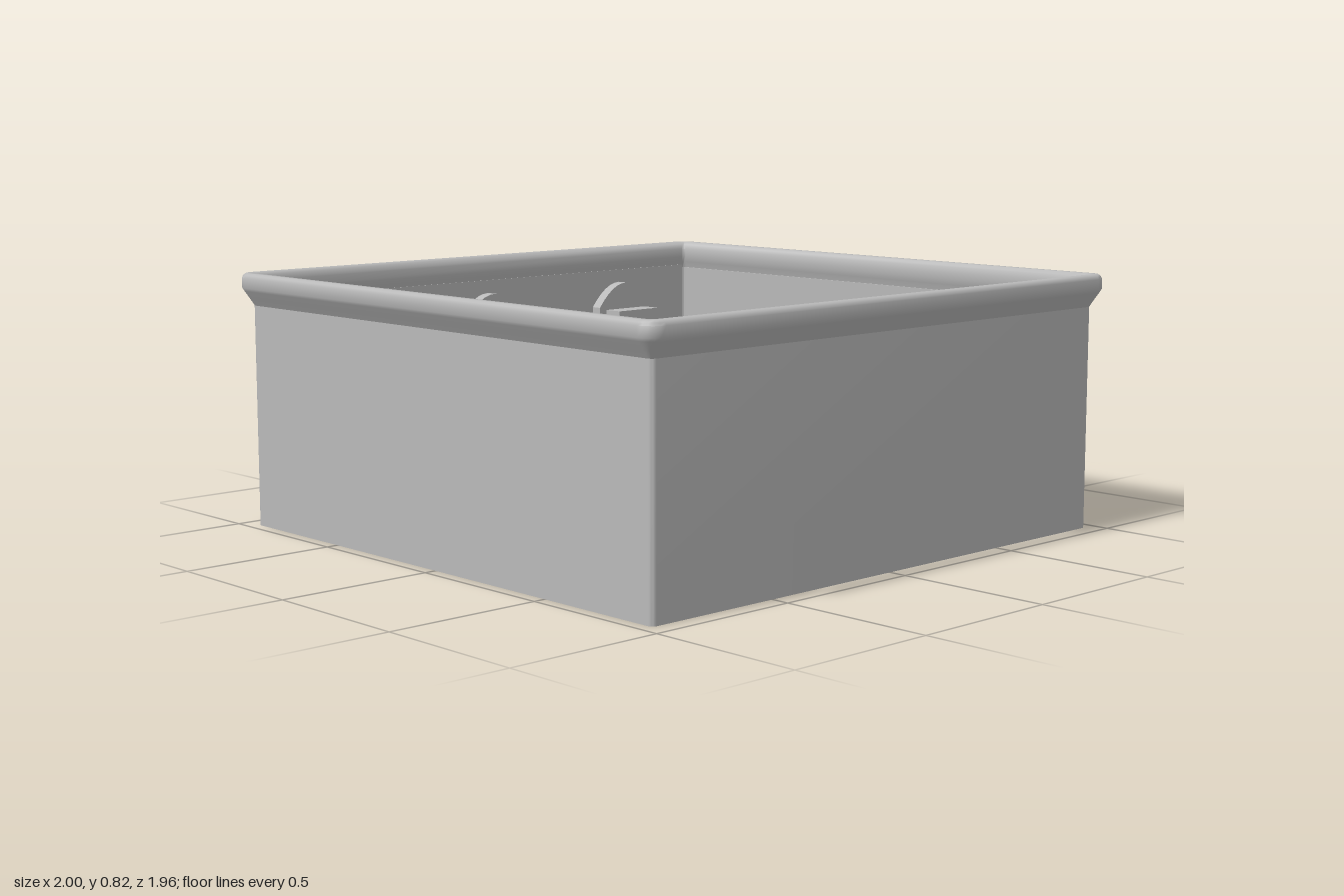
import * as THREE from 'three';
import { toCreasedNormals } from 'three/addons/utils/BufferGeometryUtils.js';

const HALF_X = 1, HALF_Z = 0.98, CORNER = 0.055, BACK = -0.942;

const stone = new THREE.MeshStandardMaterial({ color: 0xbababa });
stone.name = 'grey stone';

// Rounded rectangle in plan, inset from the cornice edge, starting at the back left corner
function planLoop(inset) {
  const r = Math.max(CORNER - inset, 0.01), pts = [], steps = 5;
  const cx = HALF_X - inset - r, cz = HALF_Z - inset - r;
  const signs = [[1, -1], [1, 1], [-1, 1], [-1, -1]];
  signs.forEach(([sx, sz], k) => {
    for (let s = 0; s <= steps; s++) {
      const a = (k - 1 + s / steps) * Math.PI / 2;
      pts.push([sx * cx + r * Math.cos(a), sz * cz + r * Math.sin(a)]);
    }
  });
  return pts;
}

// Sweeps a closed [inset, height] profile around the plan; open leaves out the back wall
function sweep(profile, open) {
  const loops = profile.map(([inset]) => planLoop(inset));
  const n = loops[0].length, m = profile.length, pos = [], index = [];
  loops.forEach((loop, j) => loop.forEach(([x, z]) => pos.push(x, profile[j][1], z)));
  for (let j = 0; j < m; j++) {
    for (let i = 0; i < (open ? n - 1 : n); i++) {
      const i2 = (i + 1) % n, j2 = (j + 1) % m;
      const a = j * n + i, b = j2 * n + i, c = j * n + i2, d = j2 * n + i2;
      index.push(a, b, c, b, d, c);
    }
  }
  const g = new THREE.BufferGeometry();
  g.setAttribute('position', new THREE.Float32BufferAttribute(pos, 3));
  g.setIndex(index);
  return toCreasedNormals(g, 0.75);
}

// Upright outline with a shallow arched top; equal spring and top give a rectangle
function arched(Type, w, y0, spring, top, x = 0) {
  const s = new Type();
  s.moveTo(x - w / 2, y0);
  s.lineTo(x + w / 2, y0);
  s.lineTo(x + w / 2, spring);
  if (top > spring) s.quadraticCurveTo(x, 2 * top - spring, x - w / 2, spring);
  else s.lineTo(x - w / 2, spring);
  s.closePath();
  return s;
}

// Extrudes a shape between two z positions
function slab(shape, z0, z1) {
  const g = new THREE.ExtrudeGeometry(shape, { depth: z1 - z0, bevelEnabled: false, curveSegments: 12 });
  g.translate(0, 0, z0);
  return toCreasedNormals(g, 0.6);
}

function withHole(outer, ...holes) {
  const s = arched(THREE.Shape, ...outer);
  holes.forEach(h => s.holes.push(arched(THREE.Path, ...h)));
  return s;
}

function add(parent, name, geometry) {
  const mesh = new THREE.Mesh(geometry, stone);
  mesh.name = name;
  parent.add(mesh);
  return mesh;
}

function box(parent, name, w, y0, y1, z0, z1) {
  const g = new THREE.BoxGeometry(w, y1 - y0, z1 - z0);
  g.translate(0, (y0 + y1) / 2, (z0 + z1) / 2);
  return add(parent, name, g);
}

function createWindow() {
  const win = new THREE.Group();
  win.name = 'window';
  const opening = [0.172, 0.18, 0.565, 0.592];

  // Outside surround and sill
  add(win, 'windowSurround', slab(withHole([0.225, 0.15, 0.575, 0.64], opening), -0.96, BACK + 0.002));
  box(win, 'windowSill', 0.25, 0.15, 0.178, -0.965, BACK + 0.002);
  box(win, 'sillApron', 0.2, 0.125, 0.15, -0.957, BACK + 0.002);

  // Sash and glazing bars
  add(win, 'sash', slab(withHole([0.176, 0.178, 0.566, 0.594], [0.142, 0.2, 0.555, 0.575]), -0.935, -0.915));
  box(win, 'mullion', 0.022, 0.19, 0.58, -0.935, -0.918);
  box(win, 'transom', 0.15, 0.39, 0.415, -0.938, -0.916);

  // Inside: arched block and hollow box behind the window
  add(win, 'innerArch', slab(withHole([0.255, 0.15, 0.61, 0.695], opening), -0.936, -0.895));
  add(win, 'innerBoxSides', slab(withHole([0.19, 0.165, 0.6, 0.6], [0.174, 0.178, 0.592, 0.592]), -0.9, -0.833));
  box(win, 'innerBoxEnd', 0.19, 0.165, 0.6, -0.833, -0.825);
  return win;
}

export function createModel() {
  const model = new THREE.Group();
  model.name = 'buildingStorey';
  const windowXs = [-0.62, 0, 0.62];

  // Front and side walls in one thin shell
  add(model, 'walls', sweep([[0.038, 0], [0.038, 0.73], [0.046, 0.73], [0.046, 0]], true));

  // Back wall with window openings
  const holes = windowXs.map(x => [0.172, 0.18, 0.565, 0.592, x]);
  add(model, 'backWall', slab(withHole([1.89, 0, 0.74, 0.74], ...holes), BACK, BACK + 0.008));

  // Cornice around the top
  add(model, 'cornice', sweep([
    [0.038, 0.72], [0.024, 0.742], [0.006, 0.768], [0, 0.778], [0, 0.81], [0.004, 0.819],
    [0.012, 0.825], [0.034, 0.825], [0.046, 0.816], [0.052, 0.8], [0.052, 0.77], [0.046, 0.75],
  ], false));

  for (const x of windowXs) {
    const win = createWindow();
    win.position.x = x;
    model.add(win);
  }
  return model;
}
